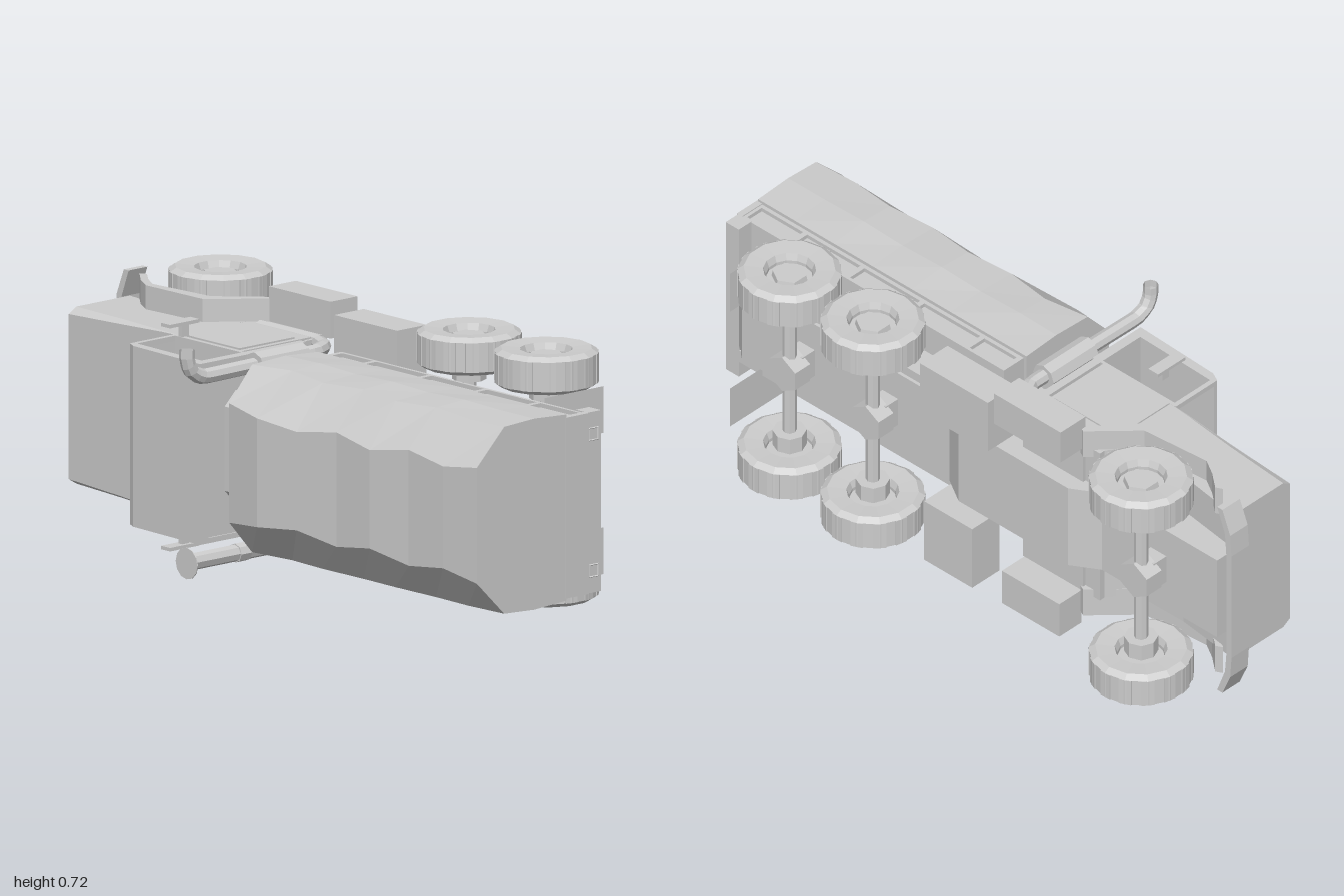
import * as THREE from 'three';

const MID = 0.3775; // centre of the truck's width, which runs along y
const grey = new THREE.MeshStandardMaterial({ color: 0xcccccc, flatShading: true, side: THREE.DoubleSide });
grey.name = 'plain grey';

// The truck lies on its side: nose to -x, roof to +z, width along y.
export function createModel() {
  const root = new THREE.Group();
  root.name = 'dumpTruck';

  const add = (name, geo, parent = root) => {
    const m = new THREE.Mesh(geo, grey);
    m.name = name;
    parent.add(m);
    return m;
  };
  // box from its extents
  const box = (name, x0, x1, y0, y1, z0, z1) => {
    const g = new THREE.BoxGeometry(x1 - x0, y1 - y0, z1 - z0);
    g.translate((x0 + x1) / 2, (y0 + y1) / 2, (z0 + z1) / 2);
    return add(name, g);
  };
  // the same box on both flanks
  const pair = (name, x0, x1, y0, y1, z0, z1) => {
    box(name + 'Left', x0, x1, y0, y1, z0, z1);
    box(name + 'Right', x0, x1, 2 * MID - y1, 2 * MID - y0, z0, z1);
  };
  // side profile in [x, z], extruded from y0 to y1
  const profile = (name, pts, y0, y1, hole) => {
    const s = new THREE.Shape(pts.map(([x, z]) => new THREE.Vector2(x, -z)));
    if (hole) s.holes.push(new THREE.Path(hole.map(([x, z]) => new THREE.Vector2(x, -z))));
    const g = new THREE.ExtrudeGeometry(s, { depth: y1 - y0, bevelEnabled: false });
    g.rotateX(-Math.PI / 2).translate(0, y0, 0);
    return add(name, g);
  };
  // skin over closed [y, z] sections placed along x, capped at both ends
  const loft = (name, sections) => {
    const pos = [], idx = [], n = sections[0][1].length;
    for (const [x, ring] of sections) for (const [y, z] of ring) pos.push(x, y, z);
    for (let i = 0; i + 1 < sections.length; i++) {
      for (let j = 0; j < n; j++) {
        const a = i * n + j, b = i * n + (j + 1) % n;
        idx.push(a, b, a + n, b, b + n, a + n);
      }
    }
    const last = (sections.length - 1) * n;
    for (let j = 1; j + 1 < n; j++) idx.push(0, j + 1, j, last, last + j, last + j + 1);
    const g = new THREE.BufferGeometry();
    g.setAttribute('position', new THREE.Float32BufferAttribute(pos, 3));
    g.setIndex(idx);
    const flat = g.toNonIndexed();
    flat.computeVertexNormals();
    return add(name, flat);
  };
  const pipe = (name, pts, r) => {
    const path = new THREE.CurvePath();
    const v = pts.map(p => new THREE.Vector3(...p));
    for (let i = 0; i + 1 < v.length; i++) path.add(new THREE.LineCurve3(v[i], v[i + 1]));
    add(name, new THREE.TubeGeometry(path, 40, r, 8));
  };
  const zCylinder = (name, r, x, y, z0, z1, sides = 12) => {
    const g = new THREE.CylinderGeometry(r, r, z1 - z0, sides);
    g.rotateX(Math.PI / 2).translate(x, y, (z0 + z1) / 2);
    return add(name, g);
  };

  // covered load bed with a sagging tarpaulin
  const xs = [-0.04, 0.1, 0.25, 0.4, 0.55, 0.7, 0.85, 0.99];
  const top = [0.31, 0.333, 0.32, 0.307, 0.318, 0.307, 0.314, 0.314];
  const edge = [0.225, 0.2, 0.222, 0.205, 0.222, 0.205, 0.22, 0.212];
  const half = [0.17, 0.155, 0.14, 0.163, 0.14, 0.165, 0.145, 0.165];
  const belly = [0.267, 0.27, 0.265, 0.27, 0.265, 0.27, 0.266, 0.266];
  loft('loadBed', xs.map((x, i) => [x, [
    [MID - 0.265, -0.02], [MID + 0.265, -0.02], [MID + belly[i] + 0.006, 0.1], [MID + belly[i], edge[i]],
    [MID + half[i], top[i]], [MID - half[i], top[i]], [MID - belly[i], edge[i]], [MID - belly[i] - 0.006, 0.1],
  ]]));
  box('bedFloor', -0.03, 0.98, 0.135, 0.62, -0.1, -0.02);
  for (const x of [-0.03, 0.11, 0.34, 0.57, 0.79, 0.965]) pair('bedRib', x, x + 0.016, 0.6, 0.632, -0.1, -0.02);
  pair('bedSill', -0.03, 0.98, 0.6, 0.632, -0.032, -0.018);
  pair('bedLowerSill', -0.03, 0.98, 0.6, 0.632, -0.1, -0.09);
  box('rearBumper', 0.94, 0.99, 0.12, 0.635, -0.15, -0.1);
  box('tailPlate', 0.975, 0.995, 0.12, 0.635, -0.1, -0.015);
  // lamp surrounds
  for (const y of [0.183, 0.572]) {
    const lamp = new THREE.TorusGeometry(0.024, 0.003, 4, 4);
    lamp.rotateZ(Math.PI / 4).rotateY(Math.PI / 2).translate(0.99, y, -0.12);
    add('rearLamp', lamp);
  }
  // thin flaps behind the rear wheels
  for (const s of [1, -1]) {
    const flap = new THREE.PlaneGeometry(0.22, 0.133);
    add('mudFlap', flap.rotateY(Math.PI / 2).translate(0.81, MID + s * 0.201, -0.21));
  }

  // chassis
  profile('frame', [[-0.945, -0.1], [0.93, -0.1], [0.93, -0.16], [0.88, -0.2], [-0.945, -0.2]], 0.243, 0.512);
  pair('sideRail', -0.05, 0.9, 0.5, 0.54, -0.19, -0.1);
  profile('gearboxHousing', [[-0.52, -0.19], [0.1, -0.19], [0.0, -0.25], [-0.42, -0.25]], 0.243, 0.512);
  box('leftFrontTank', -0.43, -0.175, 0.63, 0.735, -0.29, -0.19);
  box('leftRearTank', -0.16, 0.1, 0.53, 0.7, -0.3, -0.19);
  box('rightFrontTank', -0.42, -0.2, 0.012, 0.125, -0.285, -0.195);
  box('rightRearTank', -0.1, 0.085, 0.02, 0.225, -0.3, -0.19);
  box('deck', -0.43, -0.2, 0.13, 0.63, -0.2, -0.12);

  // bonnet, narrowing and bevelled toward the nose
  const bonnet = (x, low, shoulder, high, w, tw) => [x, [
    [MID - w, low], [MID + w, low], [MID + w, shoulder], [MID + tw, high], [MID - tw, high], [MID - w, shoulder]]];
  loft('bonnet', [
    bonnet(-0.94, -0.13, 0.07, 0.098, 0.252, 0.235),
    bonnet(-0.72, -0.1, 0.085, 0.102, 0.255, 0.245),
    bonnet(-0.54, -0.1, 0.103, 0.108, 0.257, 0.255),
    bonnet(-0.47, -0.19, 0.108, 0.11, 0.258, 0.257),
  ]);
  // arched front mudguards
  const guard = [[-0.9, -0.13], [-0.84, -0.08], [-0.78, -0.045], [-0.55, -0.05], [-0.42, -0.2],
    [-0.44, -0.21], [-0.56, -0.09], [-0.78, -0.07], [-0.83, -0.1], [-0.88, -0.14]];
  profile('leftMudguard', guard, 0.61, 0.7);
  profile('rightMudguard', guard, 0.055, 0.145);

  // cab with open windows
  box('cabBody', -0.485, -0.21, 0.12, 0.635, -0.19, 0.112);
  const cabSide = [[-0.49, 0.11], [-0.49, 0.275], [-0.46, 0.29], [-0.17, 0.3], [-0.17, 0.11]];
  const opening = [[-0.475, 0.12], [-0.2, 0.12], [-0.2, 0.27], [-0.475, 0.262]];
  profile('leftWindowFrame', cabSide, 0.62, 0.635, opening);
  profile('rightWindowFrame', cabSide, 0.12, 0.135, opening);
  profile('cabRoof', [[-0.49, 0.262], [-0.49, 0.275], [-0.46, 0.29], [-0.17, 0.302], [-0.17, 0.27]], 0.12, 0.635);
  box('cabRearWall', -0.2, -0.175, 0.12, 0.635, -0.1, 0.28);
  box('windscreenPost', -0.49, -0.475, 0.37, 0.385, 0.11, 0.27);
  pair('doorPanel', -0.47, -0.225, 0.63, 0.64, -0.1, 0.105);
  pair('mirror', -0.412, -0.374, 0.69, 0.7, 0.12, 0.23);
  pair('mirrorArm', -0.4, -0.385, 0.655, 0.692, 0.15, 0.175);

  // cooler behind the cab
  loft('cooler', [-0.17, -0.05].map(x => [x, [[0.22, -0.12], [0.54, -0.12], [0.54, 0.17],
    [0.5, 0.21], [0.26, 0.21], [0.22, 0.17]]]));

  // exhaust with its silencer
  pipe('exhaustPipe', [[-0.44, 0.62, -0.165], [-0.2, 0.62, -0.165], [-0.145, 0.62, -0.14], [-0.115, 0.62, -0.08],
    [-0.115, 0.615, 0.34], [-0.115, 0.63, 0.38], [-0.115, 0.665, 0.4], [-0.115, 0.7, 0.4]], 0.022);
  zCylinder('silencer', 0.04, -0.115, 0.615, -0.03, 0.15, 8);

  // raised air intake with its cap
  pipe('airIntake', [[-0.3, 0.17, -0.15], [-0.16, 0.13, -0.13], [-0.16, 0.1, -0.08], [-0.16, 0.08, -0.02], [-0.16, 0.08, 0.36]], 0.024);
  zCylinder('intakeCap', 0.045, -0.155, 0.08, 0.363, 0.366);
  zCylinder('intakeCollar', 0.027, -0.16, 0.08, 0.14, 0.18, 8);

  // swept front bumper bar
  const bar = [[-0.945, 0.06], [-0.965, 0.06], [-0.995, 0.13], [-1, 0.2], [-1, 0.555], [-0.995, 0.625], [-0.965, 0.7],
    [-0.945, 0.7], [-0.975, 0.62], [-0.98, 0.55], [-0.98, 0.2], [-0.975, 0.14]];
  const barGeo = new THREE.ExtrudeGeometry(new THREE.Shape(bar.map(p => new THREE.Vector2(...p))), { depth: 0.07, bevelEnabled: false });
  add('frontBumper', barGeo.translate(0, 0, -0.2));

  // wheels: chunky tyre, recessed rim, hexagonal hub and tread blocks
  const tyre = [[0.066, -0.03], [0.074, -0.05], [0.128, -0.054], [0.146, -0.042], [0.146, 0.042],
    [0.128, 0.054], [0.074, 0.05], [0.066, 0.03], [0.066, -0.03]].map(p => new THREE.Vector2(...p));
  const wheel = (x, side) => {
    const w = new THREE.Group();
    w.name = 'wheel';
    add('tyre', new THREE.LatheGeometry(tyre, 14), w);
    add('rim', new THREE.CylinderGeometry(0.067, 0.067, 0.04, 14), w);
    const hub = new THREE.CylinderGeometry(0.048, 0.052, 0.02, 6);
    add('hub', hub.translate(0, 0.027, 0), w);
    for (let i = 0; i < 14; i++) {
      const a = (i + 0.5) / 14 * Math.PI * 2;
      const lug = add('treadBlock', new THREE.BoxGeometry(0.01, 0.084, 0.036), w);
      lug.position.set(Math.cos(a) * 0.14, 0, Math.sin(a) * 0.14);
      lug.rotation.y = -a;
    }
    w.position.set(x, MID + side * 0.302, -0.27);
    if (side < 0) w.rotation.x = Math.PI;
    root.add(w);
  };
  for (const x of [-0.72, 0.31, 0.63]) {
    wheel(x, 1);
    wheel(x, -1);
    const axle = new THREE.CylinderGeometry(0.02, 0.02, 0.6, 8);
    add('axle', axle.translate(x, MID, -0.27));
    zCylinder('differential', 0.058, x, MID, -0.3, -0.24, 6);
    box('axleMount', x - 0.03, x + 0.03, MID - 0.045, MID + 0.045, -0.25, -0.19);
    for (const s of [1, -1]) {
      const drum = new THREE.CylinderGeometry(0.048, 0.048, 0.05, 8);
      add('brakeDrum', drum.translate(x, MID + s * 0.235, -0.27));
    }
  }
  return root;
}
